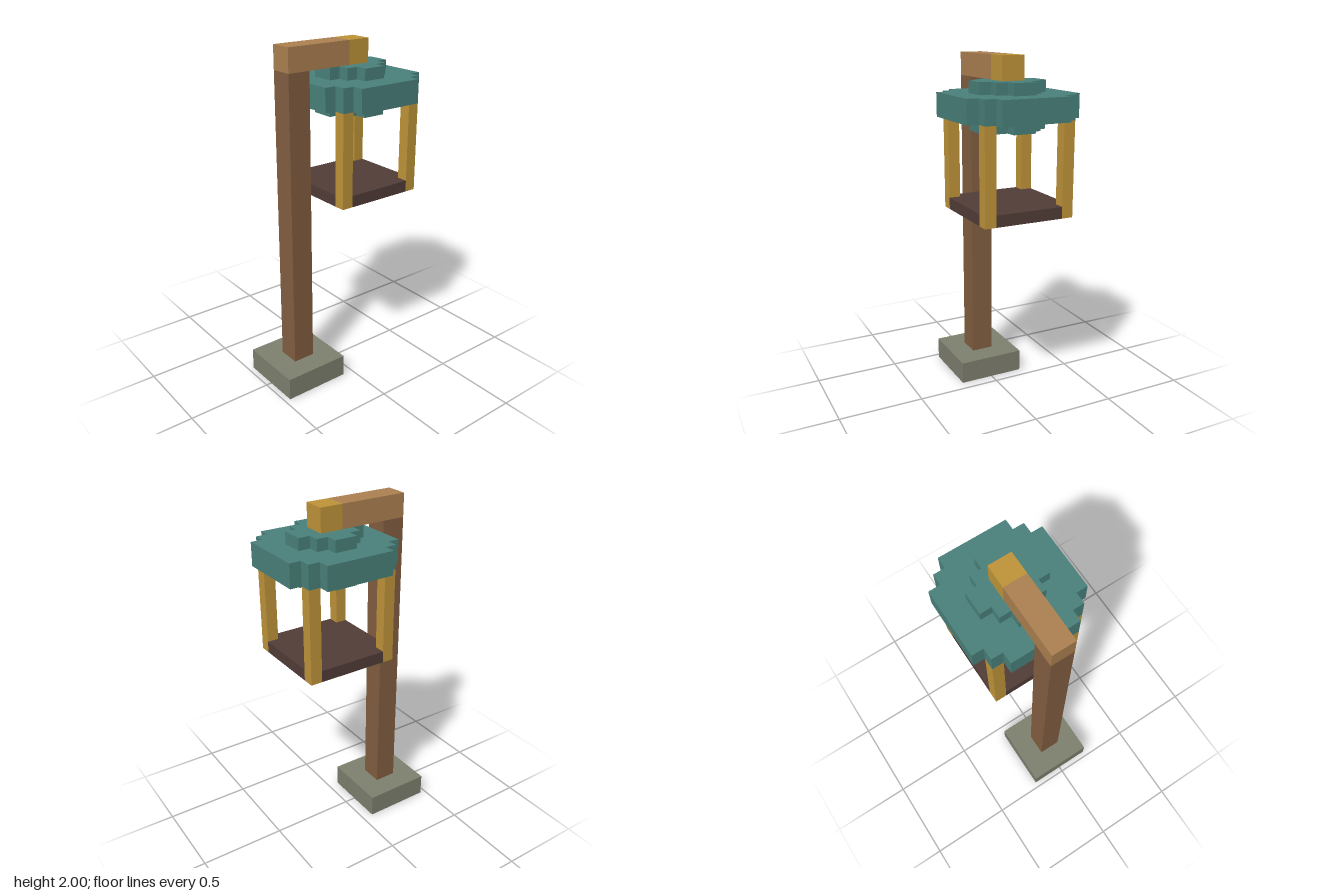
import * as THREE from 'three';

// One voxel: the model is 30 voxels tall
const U = 2 / 30;

const flat = (name, color) => {
  const m = new THREE.MeshStandardMaterial({ color });
  m.name = name;
  return m;
};

export function createModel() {
  const stone = flat('stone', 0x7e806f);
  const darkWood = flat('darkWood', 0x835f41);
  const lightWood = flat('lightWood', 0xad8151);
  const brass = flat('brass', 0xc09539);
  const teal = flat('teal', 0x4a817b);
  const umber = flat('umber', 0x533d38);

  const model = new THREE.Group();
  model.name = 'lanternPost';

  const add = (name, geometry, material, parent = model) => {
    const mesh = new THREE.Mesh(geometry, material);
    mesh.name = name;
    parent.add(mesh);
    return mesh;
  };

  // Box from voxel bounds
  const box = (name, material, [x0, x1], [y0, y1], [z0, z1], parent) => {
    const g = new THREE.BoxGeometry((x1 - x0) * U, (y1 - y0) * U, (z1 - z0) * U);
    g.translate((x0 + x1) / 2 * U, (y0 + y1) / 2 * U, (z0 + z1) / 2 * U);
    return add(name, g, material, parent);
  };

  // Stepped slab, symmetric in x, from rows of [zStart, zEnd, halfWidth]
  const slab = (name, material, [y0, y1], rows, parent) => {
    const side = rows.flatMap(([z0, z1, w]) => [[w, z0], [w, z1]]);
    const outline = [...side, ...side.map(([x, z]) => [-x, z]).reverse()];
    const shape = new THREE.Shape(outline.map(([x, z]) => new THREE.Vector2(x * U, -z * U)));
    const g = new THREE.ExtrudeGeometry(shape, { depth: (y1 - y0) * U, bevelEnabled: false });
    g.rotateX(-Math.PI / 2);
    g.translate(0, y0 * U, 0);
    return add(name, g, material, parent);
  };

  // Foot, post and overhanging arm
  box('base', stone, [-3, 3], [0, 2], [1, 7]);
  box('post', darkWood, [-1, 1], [2, 28], [3, 5]);
  box('arm', lightWood, [-1, 1], [28, 30], [-1, 5]);
  box('armTip', brass, [-1, 1], [28, 30], [-3, -1]);

  // Hanging lantern, centred on z = -2
  const lantern = new THREE.Group();
  lantern.name = 'lantern';
  model.add(lantern);

  const smallDisc = [[-5, -4, 1], [-4, -3, 2], [-3, -1, 3], [-1, 0, 2], [0, 1, 1]];
  const roofDisc = [[-7, -6, 3], [-6, -5, 4], [-5, 1, 5], [1, 2, 4], [2, 3, 3]];
  slab('roofCap', teal, [27, 28], smallDisc, lantern);
  slab('roof', teal, [25, 27], roofDisc, lantern);
  slab('roofUnderside', teal, [24, 25], smallDisc, lantern);

  // Floor with notched corners that hold the uprights
  slab('lanternFloor', umber, [17, 18], [[-6, -5, 3], [-5, 1, 4], [1, 2, 3]], lantern);
  for (const [xName, x] of [['Right', -4], ['Left', 3]]) {
    for (const [zName, z] of [['back', -6], ['front', 1]]) {
      box(`${zName}${xName}Upright`, brass, [x, x + 1], [17, 25], [z, z + 1], lantern);
    }
  }

  return model;
}
